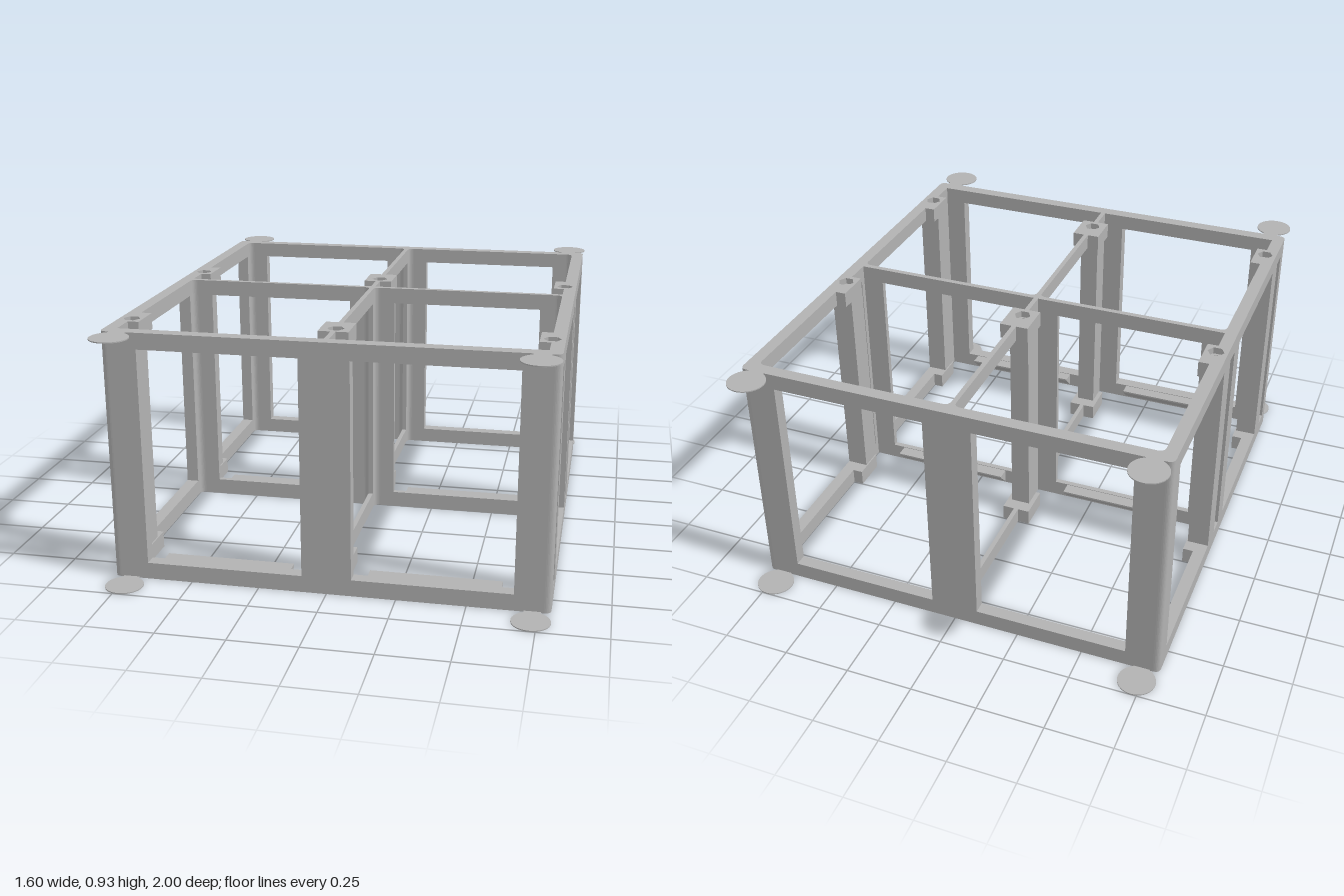
import * as THREE from 'three';

const H = 0.927;                    // overall height
const Y0 = 0.062, Y1 = 0.867;       // window sill and head
const X = 0.795, XI = 0.748;        // outer and inner face of the side walls
const ZF = 0.857, ZFI = 0.808;      // front wall
const ZB = -0.866, ZBI = -0.818;    // back wall
const CZ0 = -0.016, CZ1 = 0.005;    // thin cross wall
const T = 0.009;                    // half thickness of the long divider

export function createModel() {
  const model = new THREE.Group();
  model.name = 'crateFrame';
  const grey = new THREE.MeshStandardMaterial({ color: 0xb2b2b2 });
  grey.name = 'grey';

  const group = (name) => {
    const g = new THREE.Group();
    g.name = name;
    model.add(g);
    return g;
  };
  const add = (parent, name, geo) => {
    const m = new THREE.Mesh(geo, grey);
    m.name = name;
    parent.add(m);
    return m;
  };
  const box = (parent, name, x0, x1, y0, y1, z0, z1) =>
    add(parent, name, new THREE.BoxGeometry(x1 - x0, y1 - y0, z1 - z0)
      .translate((x0 + x1) / 2, (y0 + y1) / 2, (z0 + z1) / 2));
  // Plan shape in (x, z), extruded vertically from y0 to y1
  const prism = (parent, name, shape, y0, y1) =>
    add(parent, name, new THREE.ExtrudeGeometry(shape, { depth: y1 - y0, bevelEnabled: false, curveSegments: 8 })
      .rotateX(Math.PI / 2).translate(0, y1, 0));
  const rect = (x0, x1, z0, z1) => new THREE.Shape([
    new THREE.Vector2(x0, z0), new THREE.Vector2(x1, z0),
    new THREE.Vector2(x1, z1), new THREE.Vector2(x0, z1)]);
  const ring = (cx, cz, r, n) => new THREE.Path(Array.from({ length: n }, (_, i) => {
    const a = (i / n) * Math.PI * 2;
    return new THREE.Vector2(cx + r * Math.cos(a), cz + r * Math.sin(a));
  }));

  // Walls across x, each with two large windows
  const crossWall = (name, z0, z1) => {
    const s = rect(-XI, XI, 0, H);
    for (const [a, b] of [[-0.665, -0.09], [0.09, 0.665]]) s.holes.push(rect(a, b, Y0, Y1));
    add(model, name, new THREE.ExtrudeGeometry(s, { depth: z1 - z0, bevelEnabled: false }).translate(0, 0, z0));
  };
  crossWall('frontWall', ZFI, ZF);
  crossWall('middleWall', CZ0, CZ1);
  crossWall('backWall', ZB, ZBI);

  // Rounded outer corner columns
  const corners = group('cornerColumns');
  for (const sx of [-1, 1]) {
    for (const [zo, zi] of [[ZF, ZFI], [ZB, ZBI]]) {
      const r = 0.025, d = Math.sign(zo - zi);
      const s = new THREE.Shape();
      s.moveTo(sx * XI, zi);
      s.lineTo(sx * X, zi);
      s.lineTo(sx * X, zo - d * r);
      s.quadraticCurveTo(sx * X, zo, sx * (X - r), zo);
      s.lineTo(sx * XI, zo);
      prism(corners, 'cornerColumn', s, 0, H);
    }
  }

  // Walls along z: rails, columns and bolt posts with end brackets
  const bolts = [
    { z: -0.157, bracket: [-0.247, -0.113], post: [-0.195, -0.102] },
    { z: 0.665, bracket: [0.577, 0.71], post: [0.628, 0.72] },
  ];
  const railSpans = [[ZBI, -0.247], [-0.113, 0.577], [0.71, ZFI]];
  const columnSpans = [[ZBI, -0.785], [-0.037, 0.04], [0.785, ZFI]];
  const longWall = (name, x0, x1, boltX, postX, bracketX) => {
    const g = group(name);
    for (const [a, b] of railSpans) {
      box(g, 'bottomRail', x0, x1, 0, Y0, a, b);
      box(g, 'topRail', x0, x1, Y1, H, a, b);
    }
    for (const [a, b] of columnSpans) box(g, 'column', x0, x1, Y0, Y1, a, b);
    for (const { z, bracket, post } of bolts) {
      const drilled = (part, xs, zs, y0, y1, r, n) => {
        const s = rect(xs[0], xs[1], zs[0], zs[1]);
        s.holes.push(ring(boltX, z, r, n));
        prism(g, part, s, y0, y1);
      };
      drilled('boltPost', postX, post, Y0, Y1, 0.017, 20);
      drilled('bottomBracket', bracketX, bracket, 0, Y0, 0.017, 20);
      drilled('topBracket', bracketX, bracket, Y1, H - 0.025, 0.017, 20);
      drilled('nutPocket', bracketX, bracket, H - 0.025, H, 0.031, 6);
    }
  };
  longWall('rightWall', -X, -XI, -0.75, [-X, -0.713], [-X, -0.708]);
  longWall('divider', -T, T, 0, [-0.037, 0.037], [-0.055, 0.055]);
  longWall('leftWall', XI, X, 0.75, [0.713, X], [0.708, X]);

  // Fillets in the rear corners of each compartment
  const fillets = group('fillets');
  for (const z of [ZBI, CZ1]) {
    for (const [x, d] of [[-XI, 1], [-T, -1], [T, 1], [XI, -1]]) {
      const r = 0.025, s = new THREE.Shape();
      s.moveTo(x, z);
      s.lineTo(x + d * r, z);
      s.quadraticCurveTo(x, z, x, z + r);
      prism(fillets, 'fillet', s, 0, H);
    }
  }

  // Wedge ledges behind the front and middle walls, sloped underneath
  const ledges = group('ledges');
  for (const z of [ZFI, CZ0]) {
    for (const x0 of [-0.62, 0.14]) {
      const s = new THREE.Shape([
        new THREE.Vector2(-z, 0.005), new THREE.Vector2(-z + 0.05, 0.053),
        new THREE.Vector2(-z + 0.05, 0.06), new THREE.Vector2(-z, 0.06)]);
      add(ledges, 'ledge', new THREE.ExtrudeGeometry(s, { depth: 0.478, bevelEnabled: false })
        .rotateY(Math.PI / 2).translate(x0, 0, 0));
    }
  }

  // Thin round corner pads, top and bottom, with short necks
  const pads = group('cornerPads');
  const t = 0.004;
  for (const y of [0, H - t]) {
    for (const x of [-0.73, 0.73]) {
      for (const [z, edge] of [[0.931, ZF], [-0.931, ZB]]) {
        add(pads, 'pad', new THREE.CylinderGeometry(0.069, 0.069, t, 40).translate(x, y + t / 2, z));
        const d = Math.sign(z) * 0.02;
        box(pads, 'padNeck', x - 0.03, x + 0.03, y, y + t, Math.min(edge, edge + d), Math.max(edge, edge + d));
      }
    }
  }
  return model;
}
